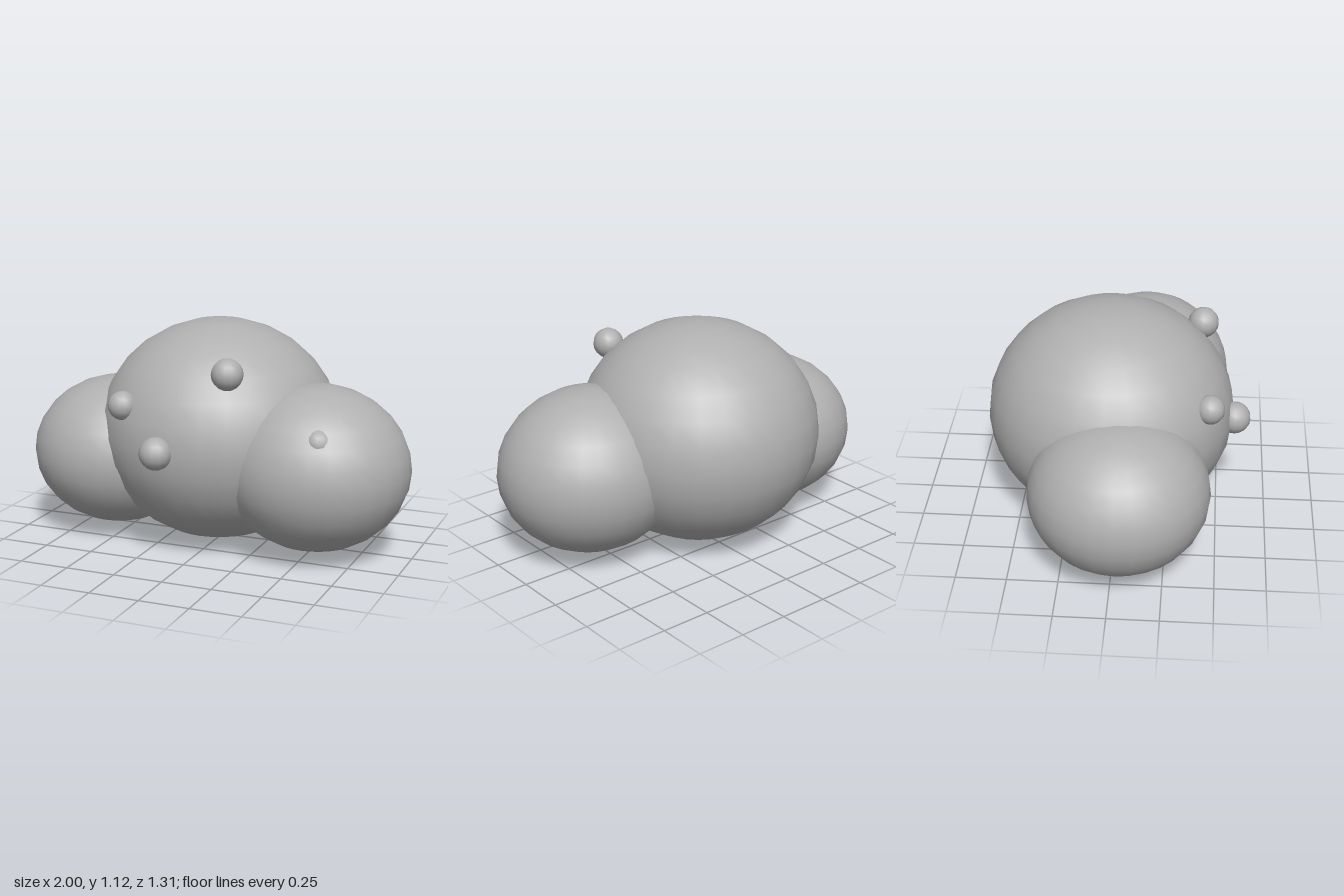
import * as THREE from 'three';

export function createModel() {
  const model = new THREE.Group();
  const grey = new THREE.MeshStandardMaterial({ color: 0xb0b0b0 });
  grey.name = 'grey';

  // Smooth ellipsoid from a centre and three radii
  function ellipsoid(name, centre, radii, segments, rings) {
    const geometry = new THREE.SphereGeometry(1, segments, rings);
    geometry.scale(...radii);
    const mesh = new THREE.Mesh(geometry, grey);
    mesh.name = name;
    mesh.position.set(...centre);
    model.add(mesh);
  }

  // Large body with a lobe sunk into each side
  ellipsoid('body', [-0.03, 0.558, -0.042], [0.607, 0.558, 0.614], 28, 14);
  ellipsoid('rightLobe', [-0.56, 0.415, 0.03], [0.44, 0.38, 0.44], 28, 14);
  ellipsoid('leftLobe', [0.53, 0.445, 0.105], [0.47, 0.41, 0.437], 28, 14);

  // Small bumps scattered over the front
  const bumps = [
    ['upperBump', [0.19, 0.935, 0.405], 0.077],
    ['rightBump', [-0.335, 0.75, 0.452], 0.071],
    ['middleBump', [-0.105, 0.565, 0.575], 0.08],
    ['lobeBump', [0.64, 0.645, 0.4], 0.07],
  ];
  for (const [name, centre, r] of bumps) ellipsoid(name, centre, [r, r, r], 14, 10);

  return model;
}
